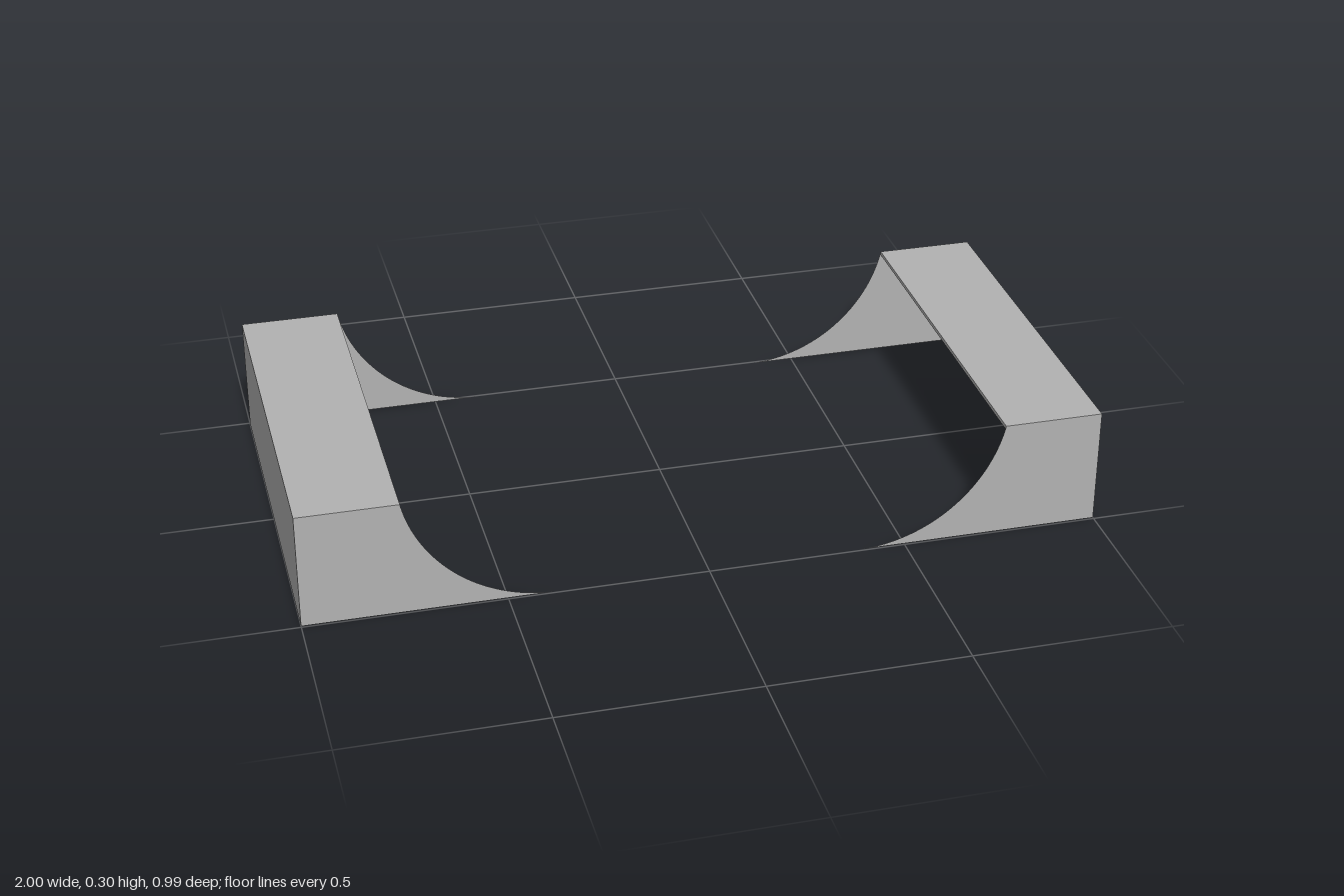
import * as THREE from 'three';

const OUTER = 1, INNER = 0.75, TIP = 0.38, HEIGHT = 0.3, HALF_DEPTH = 0.495, LIP = 0.01;

// Side cheek: a block profile whose inner edge sweeps down in an arc to a thin tip
function cheekShape() {
  const run = INNER - TIP;
  const radius = (run * run + HEIGHT * HEIGHT) / (2 * HEIGHT);
  const sweep = Math.asin(run / radius);
  const shape = new THREE.Shape();
  shape.moveTo(OUTER, 0);
  shape.lineTo(OUTER, HEIGHT);
  shape.lineTo(INNER, HEIGHT);
  shape.absarc(TIP, radius, radius, -Math.PI / 2 + sweep, -Math.PI / 2, true);
  shape.closePath();
  return shape;
}

export function createModel() {
  const grey = new THREE.MeshStandardMaterial({ color: 0xb2b2b2, side: THREE.DoubleSide });
  grey.name = 'plain grey';
  const model = new THREE.Group();
  model.name = 'rampPair';

  const cheek = new THREE.ShapeGeometry(cheekShape(), 20);

  for (const side of [1, -1]) {
    const ramp = new THREE.Group();
    ramp.name = side > 0 ? 'leftRamp' : 'rightRamp';
    const add = (name, geometry, x, y, z) => {
      const mesh = new THREE.Mesh(geometry, grey);
      mesh.name = name;
      mesh.position.set(x, y, z);
      ramp.add(mesh);
    };

    // Open shell: deck, outer wall, narrow lip and the two cheeks
    add('deck', new THREE.PlaneGeometry(OUTER - INNER, 2 * HALF_DEPTH).rotateX(-Math.PI / 2),
      (OUTER + INNER) / 2, HEIGHT, 0);
    add('outerWall', new THREE.PlaneGeometry(2 * HALF_DEPTH, HEIGHT).rotateY(Math.PI / 2),
      OUTER, HEIGHT / 2, 0);
    add('deckLip', new THREE.PlaneGeometry(2 * HALF_DEPTH, LIP).rotateY(-Math.PI / 2),
      INNER, HEIGHT - LIP / 2, 0);
    add('frontCheek', cheek, 0, 0, HALF_DEPTH);
    add('backCheek', cheek.clone().rotateY(Math.PI).scale(-1, 1, 1), 0, 0, -HALF_DEPTH);

    // Turn the shell half a circle for the opposite side
    if (side < 0) ramp.rotation.y = Math.PI;
    model.add(ramp);
  }
  return model;
}
